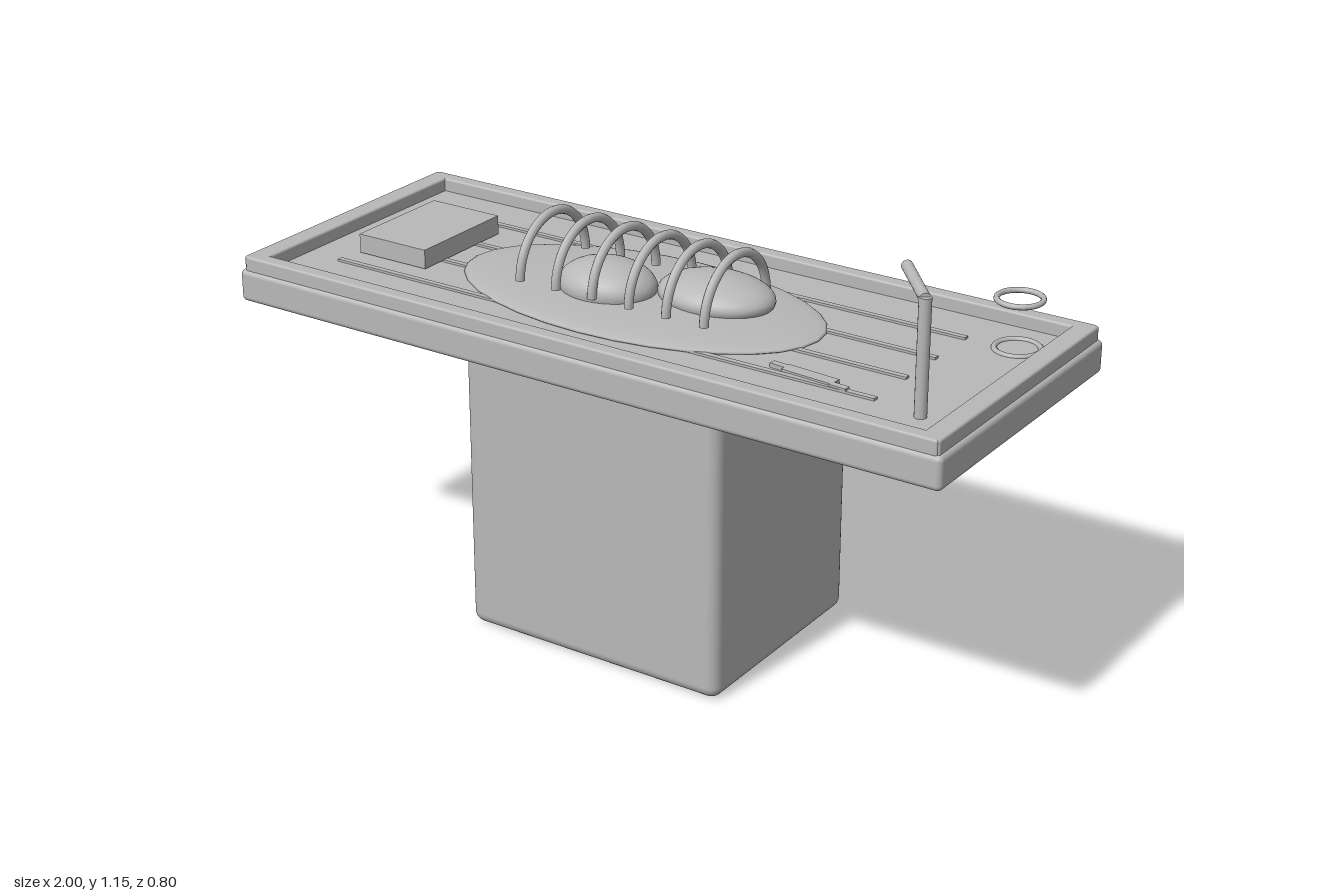
import * as THREE from 'three';
import { RoundedBoxGeometry } from 'three/addons/geometries/RoundedBoxGeometry.js';

export function createModel() {
  const model = new THREE.Group();
  const grey = new THREE.MeshStandardMaterial({ color: 0xb8b8b8 });
  grey.name = 'plainGrey';
  grey.side = THREE.DoubleSide;

  const add = (name, geometry, x, y, z) => {
    const mesh = new THREE.Mesh(geometry, grey);
    mesh.name = name;
    mesh.position.set(x, y, z);
    model.add(mesh);
    return mesh;
  };
  const box = (name, w, h, d, x, y, z) => add(name, new THREE.BoxGeometry(w, h, d), x, y, z);
  const rounded = (name, w, h, d, r, x, y, z) =>
    add(name, new RoundedBoxGeometry(w, h, d, 3, r), x, y, z);
  const ellipsoid = (name, rx, ry, rz, x, y, z) =>
    add(name, new THREE.SphereGeometry(1, 32, 20).scale(rx, ry, rz), x, y, z);

  // Pedestal and table slab
  const DECK = 0.855;
  rounded('pedestal', 0.74, 0.775, 0.606, 0.03, 0, 0.3875, 0);
  rounded('tableTop', 2, 0.085, 0.8, 0.014, 0, 0.8125, 0);

  // Raised rim
  for (const s of [-1, 1]) {
    rounded('longRim', 1.97, 0.05, 0.04, 0.006, 0, 0.865, s * 0.373);
    rounded('shortRim', 0.055, 0.05, 0.78, 0.006, s * 0.962, 0.865, 0);
  }

  // Drain strips along the deck
  for (const z of [-0.217, -0.072, 0.066, 0.211]) {
    box('drainStrip', 1.56, 0.008, 0.015, -0.05, DECK + 0.002, z);
  }

  // Shallow oval with two rounded masses and the arched ribs
  ellipsoid('ovalTray', 0.505, 0.022, 0.27, -0.05, 0.86, 0);
  ellipsoid('leftMass', 0.13, 0.065, 0.105, -0.125, 0.89, 0.035);
  ellipsoid('rightMass', 0.155, 0.053, 0.115, 0.135, 0.89, -0.052);
  const ribGeometry = new THREE.TorusGeometry(0.138, 0.012, 10, 28, Math.PI).rotateY(Math.PI / 2);
  for (let i = 0; i < 6; i++) add('rib', ribGeometry, -0.315 + i * 0.1075, 0.89, 0);

  // Block at one end
  box('headBlock', 0.21, 0.05, 0.304, -0.71, 0.885, -0.004);

  // Drain ring with a second ring hovering above it
  const ring = new THREE.TorusGeometry(0.055, 0.007, 10, 32).rotateX(Math.PI / 2);
  add('drainRing', ring, 0.855, DECK, -0.235);
  add('upperRing', ring, 0.855, 0.98, -0.235);

  // Tap post and its slanted arm
  add('tapPost', new THREE.CylinderGeometry(0.015, 0.015, 0.29, 16), 0.857, 0.995, 0.235);
  const from = new THREE.Vector3(0.857, 1.135, 0.235);
  const to = new THREE.Vector3(0.725, 1.135, 0.08);
  const dir = to.clone().sub(from);
  const mid = from.clone().add(to).multiplyScalar(0.5);
  const arm = add('tapArm', new THREE.CylinderGeometry(0.014, 0.014, dir.length(), 16), mid.x, mid.y, mid.z);
  arm.quaternion.setFromUnitVectors(new THREE.Vector3(0, 1, 0), dir.normalize());

  // Small hand tool lying on the deck
  const toolParts = [
    ['toolTip', 0.045, 0.018, 0.457, 0.178],
    ['toolHandle', 0.14, 0.034, 0.545, 0.189],
    ['toolEnd', 0.045, 0.018, 0.633, 0.208],
  ];
  for (const [name, w, d, x, z] of toolParts) {
    box(name, w, 0.012, d, x, DECK + 0.005, z).rotation.y = -0.08;
  }

  return model;
}
